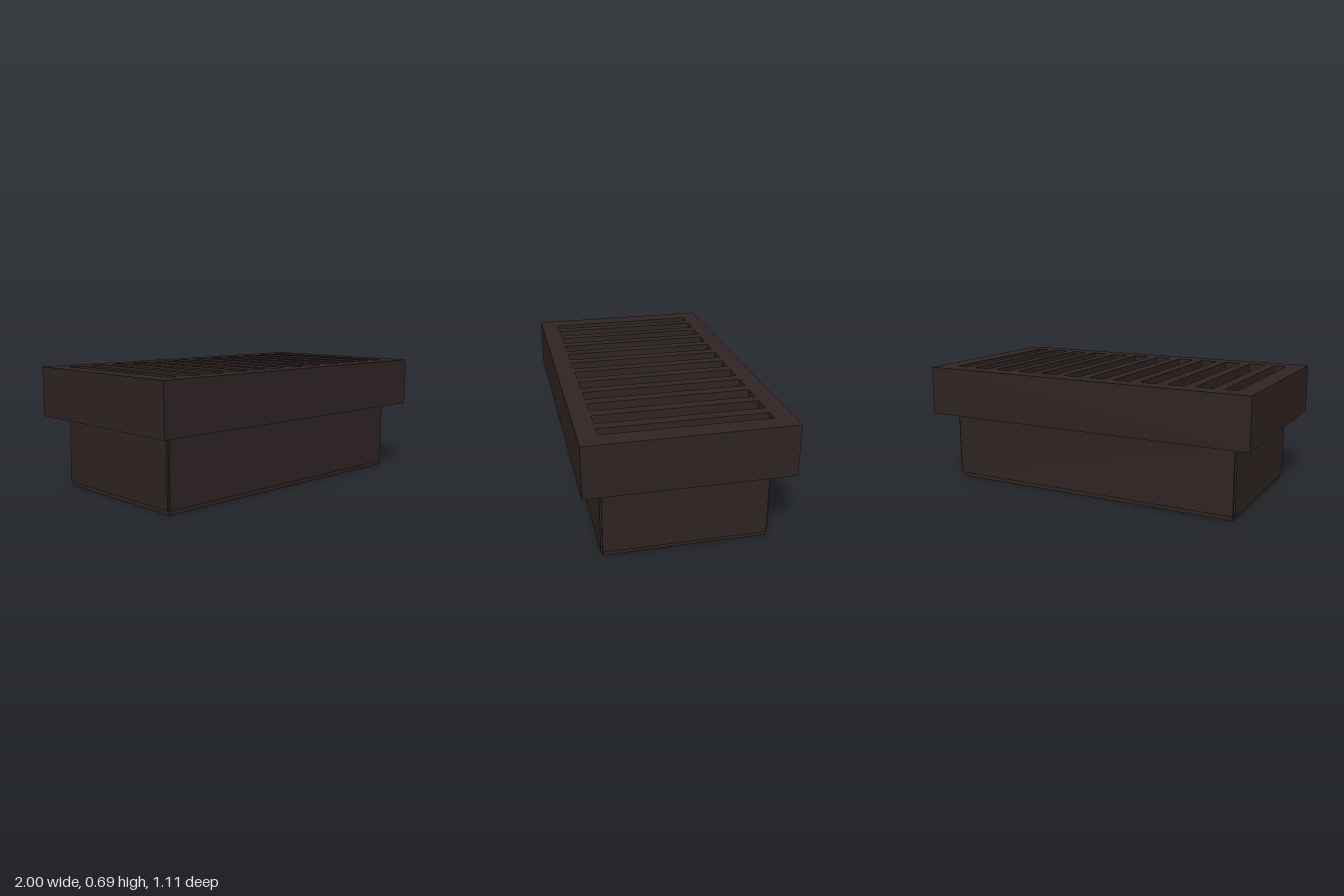
import * as THREE from 'three';

const castIron = new THREE.MeshStandardMaterial({ color: 0x2e2423 });
castIron.name = 'castIron';

// Box given by its centre in plan, its plan size and its lower and upper heights
function block(name, x, z, width, depth, bottom, top) {
  const mesh = new THREE.Mesh(new THREE.BoxGeometry(width, top - bottom, depth), castIron);
  mesh.name = name;
  mesh.position.set(x, (bottom + top) / 2, z);
  return mesh;
}

export function createModel() {
  const drain = new THREE.Group();
  drain.name = 'drainGrate';

  // Rim: a rectangular ring, extruded upwards
  const outline = new THREE.Shape([
    new THREE.Vector2(-1, -0.555), new THREE.Vector2(1, -0.555),
    new THREE.Vector2(1, 0.555), new THREE.Vector2(-1, 0.555),
  ]);
  outline.holes.push(new THREE.Path([
    new THREE.Vector2(-0.89, -0.45), new THREE.Vector2(-0.89, 0.45),
    new THREE.Vector2(0.89, 0.45), new THREE.Vector2(0.89, -0.45),
  ]));
  const rimGeometry = new THREE.ExtrudeGeometry(outline, { depth: 0.285, bevelEnabled: false });
  rimGeometry.rotateX(-Math.PI / 2);
  const rim = new THREE.Mesh(rimGeometry, castIron);
  rim.name = 'rim';
  rim.position.y = 0.41;
  drain.add(rim);

  // Catch basin: floor plate and four walls that leave notched corners
  const basin = new THREE.Group();
  basin.name = 'basin';
  basin.add(block('floor', 0, 0, 1.78, 0.89, 0, 0.025));
  for (const side of [-1, 1]) {
    basin.add(block(side > 0 ? 'frontWall' : 'backWall', 0, side * 0.4475, 1.78, 0.015, 0.025, 0.411));
    basin.add(block(side > 0 ? 'leftWall' : 'rightWall', side * 0.89, 0, 0.02, 0.89, 0.025, 0.411));
  }
  drain.add(basin);

  // Grate: eleven bars flush with the rim, on two lower cross bars
  const grate = new THREE.Group();
  grate.name = 'grate';
  for (let i = -5; i <= 5; i++) {
    grate.add(block('grateBar', i * 0.158, 0, 0.062, 0.9, 0.615, 0.695));
  }
  for (const side of [-1, 1]) {
    grate.add(block('crossBar', 0, side * 0.225, 1.78, 0.05, 0.6, 0.65));
  }
  drain.add(grate);

  return drain;
}
